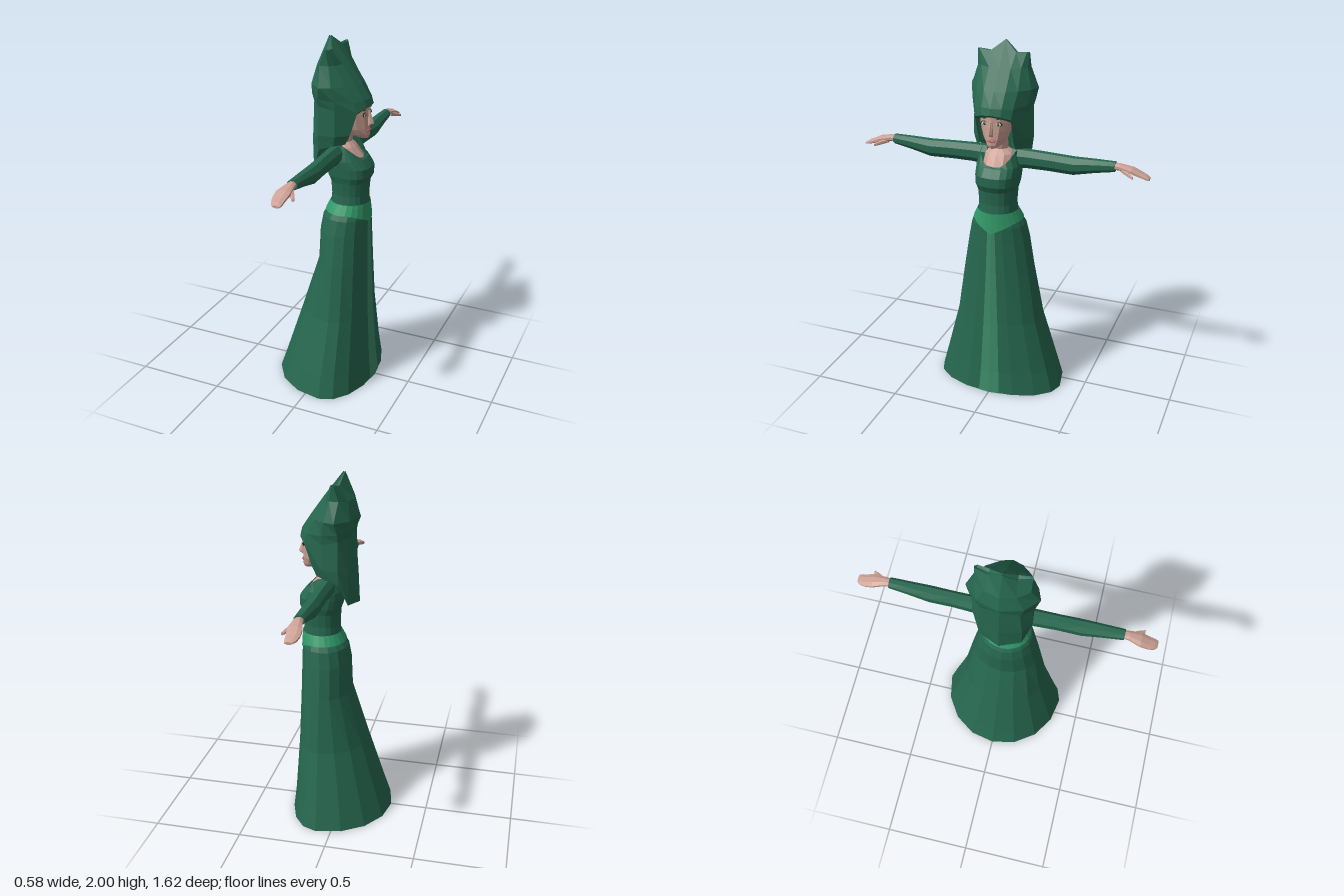
import * as THREE from 'three';

const mat = (color) => new THREE.MeshStandardMaterial({ color, flatShading: true, side: THREE.DoubleSide });

// Skin a list of equal-length point rows; closed rows wrap around.
function loft(rows, closed = true) {
  const n = rows[0].length, index = [];
  for (let i = 0; i < rows.length - 1; i++) {
    for (let j = 0; j < (closed ? n : n - 1); j++) {
      const k = (j + 1) % n;
      const a = i * n + j, b = i * n + k, c = a + n, d = b + n;
      index.push(a, c, d, a, d, b);
    }
  }
  const g = new THREE.BufferGeometry();
  g.setAttribute('position', new THREE.Float32BufferAttribute(rows.flat(2), 3));
  g.setIndex(index);
  g.computeVertexNormals();
  return g;
}

// Close both ends of a loft with a collapsed row.
function capped(rows) {
  const flat = (r) => {
    const c = [0, 1, 2].map((k) => r.reduce((s, p) => s + p[k], 0) / r.length);
    return r.map(() => c);
  };
  return [flat(rows[0]), ...rows, flat(rows[rows.length - 1])];
}

// Horizontal section: back x, front x, half width, x of the widest point.
function ring(y, xb, xf, hz, cx = (xb + xf) / 2, n = 16, p = 1) {
  return Array.from({ length: n }, (_, i) => {
    const a = (i / n) * Math.PI * 2, c = Math.cos(a), s = Math.sin(a);
    const pow = (v) => Math.sign(v) * Math.abs(v) ** p;
    return [cx + pow(c) * (c > 0 ? xf - cx : cx - xb), y, pow(s) * hz];
  });
}

// Section across an arm; side is +1 or -1 along z.
function armRing([z, cx, cy, rx, ry], side, n = 8) {
  return Array.from({ length: n }, (_, i) => {
    const a = ((i + 0.5) / n) * Math.PI * 2;
    return [cx + rx * Math.cos(a) * 1.06, cy - side * ry * Math.sin(a) * 1.06, side * z];
  });
}

const mirrorZ = (pts) => pts.map(([x, y, z]) => [x, y, -z]).reverse();

export function createModel() {
  const model = new THREE.Group();
  const dress = mat(0x26674f), trim = mat(0x319a69), panelMat = mat(0x3c8865);
  const skin = mat(0xcda195), white = mat(0xe6e6de), iris = mat(0x3f8a4a);
  const dark = mat(0x3a2a26), lip = mat(0xb5605c);

  const add = (name, geometry, material, parent = model) => {
    const m = new THREE.Mesh(geometry, material);
    m.name = name;
    parent.add(m);
    return m;
  };

  // Skirt, open below: y, back, front, half width, widest x
  const skirt = [
    [0, -0.29, 0.29, 0.37, 0.09], [0.13, -0.245, 0.275, 0.335, 0.09],
    [0.44, -0.145, 0.255, 0.252, 0.1], [0.75, -0.045, 0.243, 0.203, 0.1],
    [0.93, -0.04, 0.238, 0.172, 0.1], [1.02, -0.025, 0.235, 0.152, 0.11],
    [1.08, 0.015, 0.23, 0.118, 0.12],
  ];
  add('skirt', loft(skirt.map((r) => ring(...r))), dress);

  // Lighter strip down the front of the skirt
  const panelHalf = [0.062, 0.054, 0.042, 0.03, 0.024, 0.02, 0.018];
  add('frontPanel', loft(skirt.map(([y, , xf, hz, cx], i) => {
    const w = panelHalf[i];
    const drop = (0.076 * (xf - cx) * w) / (0.383 * hz);
    return [[xf - drop + 0.003, y, -w], [xf + 0.003, y, 0], [xf - drop + 0.003, y, w]];
  }), false), panelMat);

  // Belt dipping to a point in front
  const beltLow = ring(1.05, -0.012, 0.241, 0.14, 0.11, 24).map(([x, y, z]) =>
    [x, y - (x > 0.11 ? 0.062 * Math.max(0, 1 - Math.abs(z) / 0.13) : 0), z]);
  add('belt', loft([beltLow, ring(1.105, 0.015, 0.234, 0.113, 0.12, 24)]), trim);

  // Bodice with a scooped neckline
  const neckline = ring(1.44, 0.02, 0.2, 0.1, 0.08, 20, 0.85).map(([x, y, z]) => {
    const t = x > 0.08 ? 1 - (Math.abs(z) / 0.1) ** 3 : 0;
    return [x, y - 0.08 * t - (x < 0.05 ? 0.015 : 0), z];
  });
  add('bodice', loft([
    ring(1.08, 0.02, 0.228, 0.108, 0.12, 20, 0.85),
    ring(1.15, 0.025, 0.222, 0.102, 0.12, 20, 0.85),
    ring(1.225, 0.02, 0.228, 0.108, 0.12, 20, 0.85),
    ring(1.26, 0.01, 0.245, 0.116, 0.11, 20, 0.75),
    ring(1.31, -0.003, 0.245, 0.12, 0.1, 20, 0.75),
    ring(1.355, -0.005, 0.212, 0.122, 0.09, 20, 0.8),
    neckline,
  ]), dress);

  // Chest and neck
  add('neck', loft([
    ring(1.3, 0.02, 0.2, 0.09, 0.08, 12), ring(1.36, 0.02, 0.195, 0.092, 0.08, 12),
    ring(1.415, 0.03, 0.15, 0.085, 0.08, 12), ring(1.44, 0.045, 0.125, 0.045, 0.085, 12),
    ring(1.54, 0.06, 0.15, 0.042, 0.1, 12),
  ]), skin);

  // Arms, hands and feet
  for (const side of [1, -1]) {
    const arm = new THREE.Group();
    arm.name = side > 0 ? 'leftArm' : 'rightArm';
    model.add(arm);
    const sections = (list, n) => loft(capped(list.map((s) => armRing(s, side, n))));
    add('sleeve', sections([
      [0.07, 0.075, 1.385, 0.045, 0.055], [0.16, 0.075, 1.388, 0.042, 0.05],
      [0.28, 0.078, 1.387, 0.039, 0.048], [0.41, 0.08, 1.383, 0.041, 0.047],
      [0.52, 0.081, 1.397, 0.034, 0.036], [0.632, 0.082, 1.408, 0.028, 0.026],
    ]), dress, arm);
    add('hand', sections([
      [0.61, 0.082, 1.41, 0.021, 0.018], [0.655, 0.082, 1.41, 0.025, 0.017],
      [0.72, 0.078, 1.397, 0.039, 0.017], [0.765, 0.076, 1.38, 0.035, 0.013],
      [0.795, 0.08, 1.37, 0.03, 0.011], [0.812, 0.085, 1.364, 0.02, 0.007],
    ]), skin, arm);
    add('thumb', sections([
      [0.665, 0.095, 1.398, 0.012, 0.012], [0.705, 0.118, 1.386, 0.013, 0.011],
      [0.735, 0.136, 1.376, 0.008, 0.008],
    ], 6), skin, arm);

    const foot = loft(capped([
      ring(0.005, 0.02, 0.25, 0.042, 0.16, 10), ring(0.035, 0.02, 0.25, 0.045, 0.16, 10),
      ring(0.075, 0.025, 0.18, 0.04, 0.09, 10), ring(0.13, 0.03, 0.11, 0.035, 0.07, 10),
      ring(0.35, 0.02, 0.12, 0.045, 0.07, 10),
    ]));
    add(side > 0 ? 'leftFoot' : 'rightFoot', foot, skin).position.z = side * 0.075;
  }

  // Head
  const head = new THREE.Group();
  head.name = 'head';
  model.add(head);
  add('face', loft(capped([
    ring(1.472, 0.16, 0.222, 0.022, 0.19, 12), ring(1.49, 0.125, 0.23, 0.045, 0.15, 12),
    ring(1.525, 0.08, 0.228, 0.067, 0.14, 12), ring(1.565, 0.05, 0.226, 0.081, 0.13, 12),
    ring(1.61, 0.03, 0.224, 0.089, 0.13, 12), ring(1.675, 0.03, 0.225, 0.091, 0.13, 12),
  ])), skin, head);
  add('nose', loft(capped([
    ring(1.54, 0.21, 0.232, 0.014, 0.22, 6), ring(1.553, 0.21, 0.253, 0.014, 0.22, 6),
    ring(1.625, 0.21, 0.228, 0.007, 0.22, 6),
  ])), skin, head);
  add('lips', new THREE.SphereGeometry(1, 8, 4), lip, head).position.set(0.222, 1.515, 0);
  head.getObjectByName('lips').scale.set(0.012, 0.008, 0.027);
  for (const s of [1, -1]) {
    const blob = (name, material, x, y, z, sx, sy, sz) => {
      const m = add(name, new THREE.SphereGeometry(1, 8, 6), material, head);
      m.position.set(x, y, s * z);
      m.scale.set(sx, sy, sz);
    };
    blob('eyeOutline', dark, 0.2125, 1.607, 0.039, 0.006, 0.012, 0.021);
    blob('eyeWhite', white, 0.2135, 1.606, 0.039, 0.007, 0.0095, 0.018);
    blob('iris', iris, 0.217, 1.606, 0.038, 0.006, 0.0085, 0.0085);
    blob('pupil', dark, 0.2205, 1.606, 0.038, 0.004, 0.004, 0.004);
    blob('eyebrow', dark, 0.213, 1.633, 0.039, 0.006, 0.003, 0.022);
  }

  // Headdress: half rows run from front centre to back centre
  const full = (h) => [...h, ...mirrorZ(h.slice(1, -1))];
  const crown = [
    [[0.222, 1.64, 0], [0.212, 1.635, 0.05], [0.185, 1.615, 0.093], [0.08, 1.61, 0.142], [0, 1.63, 0.152], [-0.045, 1.65, 0.1], [-0.06, 1.65, 0]],
    [[0.24, 1.655, 0], [0.228, 1.648, 0.053], [0.197, 1.63, 0.1], [0.09, 1.64, 0.147], [0, 1.66, 0.156], [-0.048, 1.67, 0.1], [-0.063, 1.69, 0]],
    [[0.23, 1.69, 0], [0.215, 1.688, 0.055], [0.18, 1.68, 0.105], [0.09, 1.69, 0.155], [0, 1.7, 0.168], [-0.055, 1.71, 0.11], [-0.07, 1.715, 0]],
    [[0.18, 1.765, 0], [0.17, 1.765, 0.06], [0.135, 1.765, 0.115], [0.075, 1.765, 0.165], [0.015, 1.765, 0.188], [-0.055, 1.765, 0.12], [-0.09, 1.765, 0]],
    [[0.105, 1.87, 0], [0.095, 1.87, 0.06], [0.075, 1.87, 0.11], [0.05, 1.87, 0.138], [0, 1.87, 0.14], [-0.04, 1.86, 0.08], [-0.06, 1.86, 0]],
    [[0.004, 2, 0], [0.04, 1.945, 0.07], [0.045, 1.95, 0.13], [0.035, 1.952, 0.143], [0.025, 1.95, 0.14], [0.01, 1.94, 0.07], [-0.006, 2, 0]],
    [[0, 1.995, 0], [0.025, 1.935, 0.07], [0.035, 1.94, 0.13], [0.035, 1.95, 0.142], [0.035, 1.94, 0.13], [0.025, 1.935, 0.07], [0, 1.995, 0]],
  ];
  add('headdress', loft(crown.map(full)), dress, head);

  // Veil hanging from the headdress, open around the face
  const around = (h) => [...h, ...mirrorZ(h.slice(0, -1))];
  const veil = [
    [[0.13, 1.45, 0.1], [0.08, 1.445, 0.14], [0, 1.42, 0.15], [-0.045, 1.3, 0.115], [-0.088, 1.288, 0]],
    [[0.155, 1.5, 0.097], [0.09, 1.5, 0.15], [0, 1.5, 0.16], [-0.05, 1.46, 0.115], [-0.08, 1.45, 0]],
    [[0.197, 1.63, 0.1], [0.09, 1.64, 0.147], [0, 1.66, 0.156], [-0.048, 1.67, 0.1], [-0.063, 1.69, 0]],
  ];
  add('veil', loft(veil.map(around), false), dress, head);

  return model;
}
